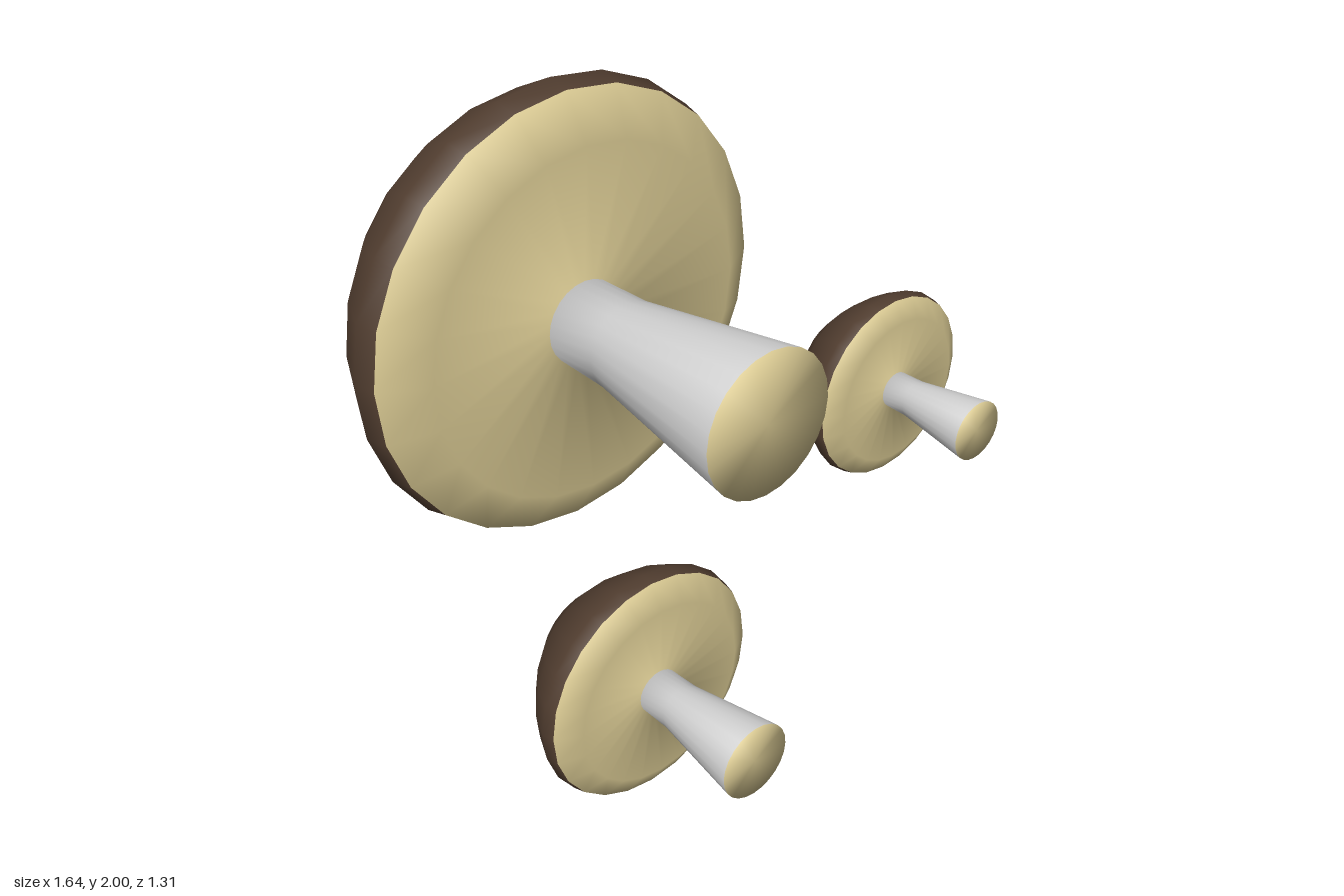
import * as THREE from 'three';

const SEGMENTS = 24;

// Profile as [radius, z], from the crown of the cap to the foot of the stem
const PROFILE = [
  [0, -0.655], [0.097, -0.655], [0.286, -0.575], [0.435, -0.435],
  [0.554, -0.285], [0.62, -0.15], [0.605, -0.088],
  [0.484, -0.015], [0.116, -0.035],
  [0.12, 0.13], [0.195, 0.63], [0, 0.63],
].map(([r, z]) => new THREE.Vector2(r, z));

// Bands of the profile: first and last point of each part
const PARTS = [
  { name: 'cap', from: 0, to: 6, color: 0x533f31 },
  { name: 'gills', from: 6, to: 8, color: 0xdbcb94 },
  { name: 'stem', from: 8, to: 10, color: 0xcccccc },
  { name: 'stemEnd', from: 10, to: 11, color: 0xdbcb94 },
];

// One band of the lathe, keeping the smooth normals of the whole body
function bandGeometry(body, from, to) {
  const perColumn = (PROFILE.length - 1) * 6;
  const source = body.index.array;
  const index = [];
  for (let s = 0; s < SEGMENTS; s++) {
    const start = s * perColumn;
    index.push(...source.slice(start + from * 6, start + to * 6));
  }
  const geometry = body.clone();
  geometry.setIndex(index);
  return geometry;
}

export function createModel() {
  const model = new THREE.Group();
  model.name = 'mushrooms';

  // The body is turned so that its stem points to the front
  const body = new THREE.LatheGeometry(PROFILE, SEGMENTS).rotateX(Math.PI / 2);
  const parts = PARTS.map(({ name, from, to, color }) => ({
    name,
    geometry: bandGeometry(body, from, to),
    material: new THREE.MeshStandardMaterial({ color }),
  }));

  function addMushroom(name, x, y, z, scale) {
    const mushroom = new THREE.Group();
    mushroom.name = name;
    for (const part of parts) {
      const mesh = new THREE.Mesh(part.geometry, part.material);
      mesh.name = part.name;
      mushroom.add(mesh);
    }
    mushroom.position.set(x, y, z);
    mushroom.scale.setScalar(scale);
    model.add(mushroom);
  }

  addMushroom('largeMushroom', -0.2, 1.38, 0, 1);
  addMushroom('mediumMushroom', -0.2, 0.355, 0.269, 0.568);
  addMushroom('smallMushroom', 0.55, 1.07, 0.381, 0.43);
  return model;
}
